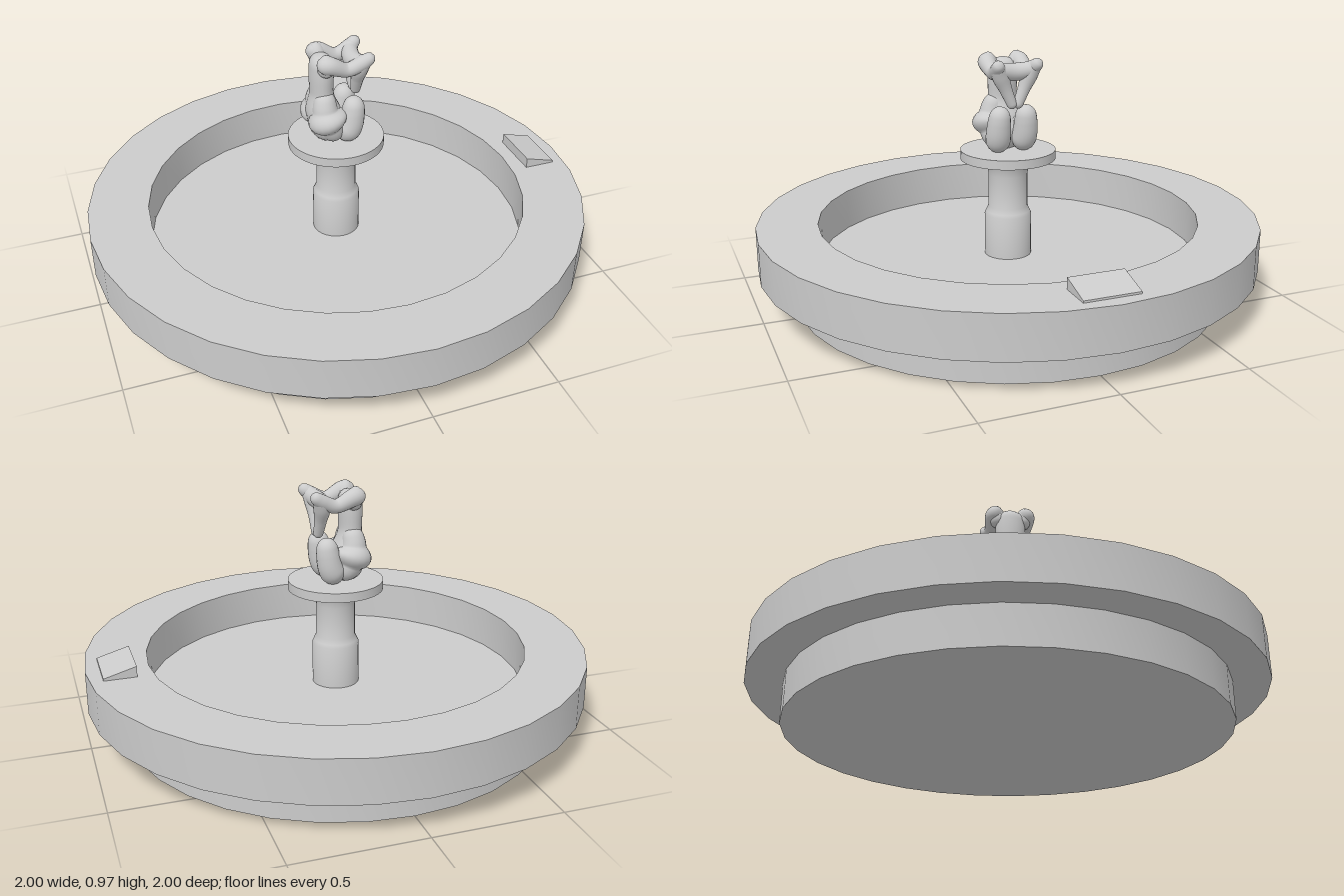
import * as THREE from 'three';
import { mergeVertices, toCreasedNormals } from 'three/addons/utils/BufferGeometryUtils.js';

const material = new THREE.MeshStandardMaterial({ color: 0xcccccc });

function add(group, name, geometry) {
  const mesh = new THREE.Mesh(geometry, material);
  mesh.name = name;
  group.add(mesh);
  return mesh;
}

function turned(profile, sides) {
  const points = profile.map(([r, y]) => new THREE.Vector2(r, y));
  return toCreasedNormals(new THREE.LatheGeometry(points, sides), 0.5);
}

// Smooth round-ended limb through [x, y, z, radius] stations; depth stretches it in z
function limb(stations, depth = 1) {
  const curve = new THREE.CatmullRomCurve3(stations.map(([x, y, z]) => new THREE.Vector3(x, y, z)));
  const radii = new THREE.CatmullRomCurve3(stations.map(s => new THREE.Vector3(s[3], 0, 0)));
  const rings = 40, sides = 20, length = curve.getLength();
  const geometry = new THREE.TubeGeometry(curve, rings, 1, sides, false);
  const pos = geometry.attributes.position, v = new THREE.Vector3();
  for (let i = 0; i <= rings; i++) {
    const u = i / rings, centre = curve.getPointAt(u);
    const r = radii.getPoint(curve.getUtoTmapping(u)).x;
    const d = Math.min(1, Math.min(u, 1 - u) * length / r);
    const round = r * Math.sqrt(Math.max(0, 1 - (1 - d) ** 2));
    for (let j = 0; j <= sides; j++) {
      const k = i * (sides + 1) + j;
      v.fromBufferAttribute(pos, k).sub(centre).multiplyScalar(round);
      v.z *= depth;
      v.add(centre);
      pos.setXYZ(k, v.x, v.y, v.z);
    }
  }
  geometry.deleteAttribute('uv');
  geometry.deleteAttribute('normal');
  const welded = mergeVertices(geometry, 1e-5);
  welded.computeVertexNormals();
  return welded;
}

function createStatue() {
  const statue = new THREE.Group();
  statue.name = 'statue';

  // Curved back rising from the seat
  add(statue, 'torso', limb([
    [0.0, 0.592, 0, 0.05], [-0.035, 0.65, 0, 0.072], [-0.055, 0.72, 0, 0.066],
    [-0.06, 0.8, 0, 0.045], [-0.06, 0.87, 0, 0.047], [-0.058, 0.955, 0, 0.045],
  ], 1.3));

  for (const s of [1, -1]) {
    // Lower lobes at the front and the haunches behind them
    add(statue, 'knee', limb([
      [0.0, 0.597, s * 0.045, 0.035], [0.035, 0.645, s * 0.055, 0.05],
      [0.05, 0.71, s * 0.056, 0.046], [0.055, 0.778, s * 0.052, 0.036],
    ]));
    add(statue, 'haunch', limb([
      [-0.01, 0.6, s * 0.04, 0.035], [-0.04, 0.66, s * 0.05, 0.05],
      [-0.06, 0.73, s * 0.045, 0.05], [-0.055, 0.81, s * 0.025, 0.035],
    ]));
    // Side bar of the crown, swelling into a raised lobe at each end
    add(statue, 'crownSide', limb([
      [-0.09, 0.925, s * 0.045, 0.03], [-0.058, 0.935, s * 0.066, 0.036],
      [0.02, 0.905, s * 0.068, 0.028], [0.075, 0.925, s * 0.073, 0.029],
      [0.122, 0.958, s * 0.085, 0.02],
    ]));
    // Front arms converging downwards around an opening
    add(statue, 'frontArm', limb([
      [0.092, 0.955, s * 0.08, 0.028], [0.075, 0.9, s * 0.06, 0.033],
      [0.073, 0.845, s * 0.037, 0.025], [0.076, 0.77, s * 0.006, 0.018],
    ]));
    add(statue, 'rearPeak', limb([
      [-0.055, 0.88, s * 0.04, 0.035], [-0.058, 0.93, s * 0.055, 0.033], [-0.064, 0.974, s * 0.066, 0.02],
    ]));
  }

  // Bar joining the two front arms
  add(statue, 'crownFront', limb([
    [0.085, 0.925, -0.095, 0.03], [0.066, 0.912, 0, 0.035], [0.085, 0.925, 0.095, 0.03],
  ]));
  return statue;
}

export function createModel() {
  const model = new THREE.Group();
  model.name = 'fountain';

  // Basin: stepped foot, wide rim and sunken floor
  add(model, 'basin', turned([
    [0, 0], [0.857, 0], [0.857, 0.15], [1, 0.15], [1, 0.32], [0.76, 0.32], [0.76, 0.155], [0, 0.155],
  ], 32));

  // Pedestal column with thicker foot and flared neck
  add(model, 'pedestal', turned([
    [0.094, 0.15], [0.094, 0.325], [0.088, 0.338], [0.079, 0.358], [0.078, 0.49],
    [0.082, 0.515], [0.09, 0.54], [0.098, 0.557],
  ], 32));
  add(model, 'pedestalTop', turned([[0, 0.555], [0.19, 0.555], [0.19, 0.592], [0, 0.592]], 48));

  // Sloping plaque on the rim
  const wedge = new THREE.Shape();
  wedge.moveTo(0.817, 0.318);
  wedge.lineTo(0.943, 0.318);
  wedge.lineTo(0.943, 0.328);
  wedge.lineTo(0.817, 0.363);
  wedge.closePath();
  const plaque = new THREE.ExtrudeGeometry(wedge, { depth: 0.215, bevelEnabled: false });
  add(model, 'plaque', plaque.translate(0, 0, -0.1));

  model.add(createStatue());
  return model;
}
